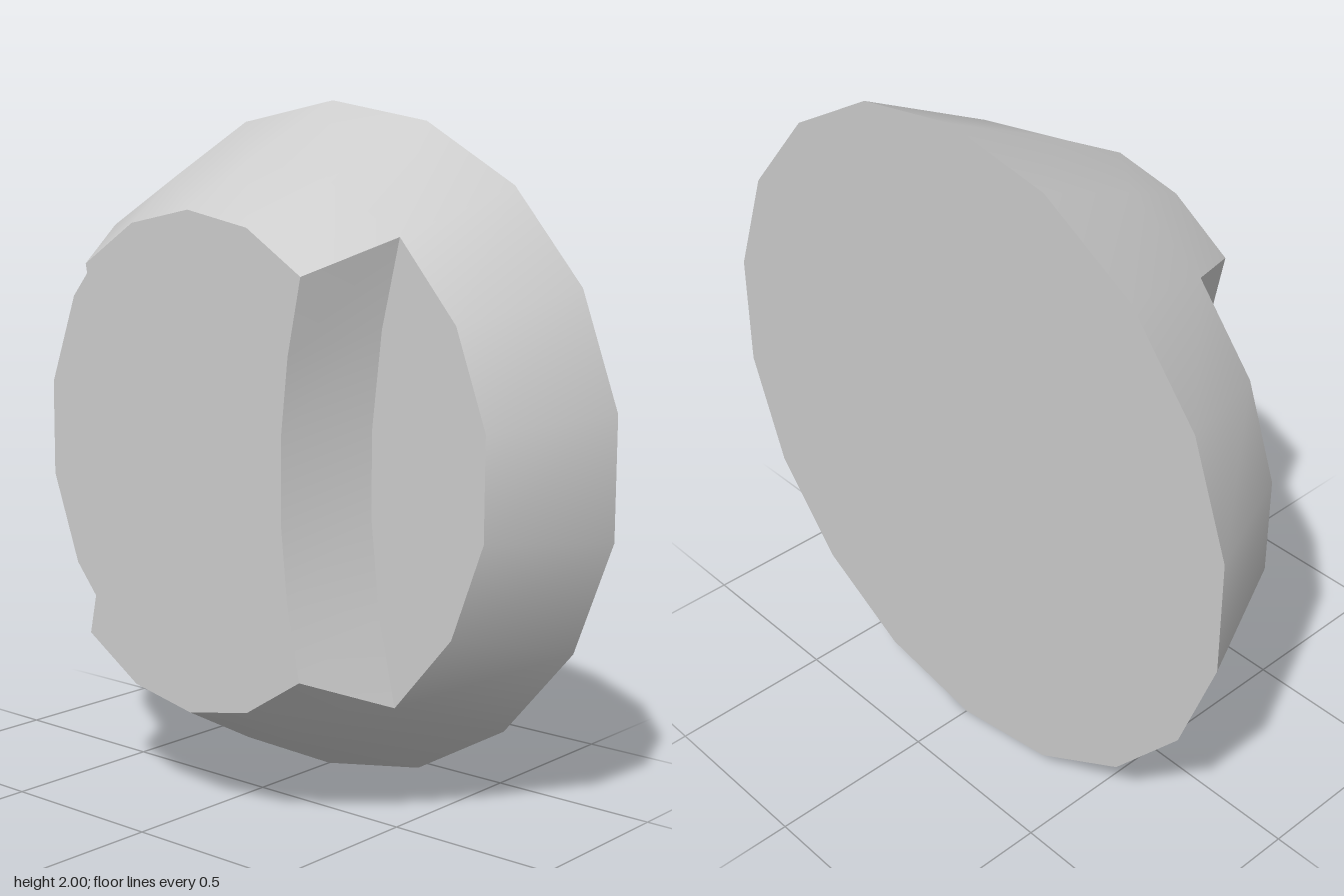
import * as THREE from 'three';
import { mergeVertices, toCreasedNormals } from 'three/addons/utils/BufferGeometryUtils.js';

const SIDES = 18, BACK = -0.305, SHELF = 0.06, FRONT = 0.305;

// Points are [x, y] about the knob's axis, listed clockwise as seen from the front.
const ring = (r) => Array.from({ length: SIDES }, (_, i) => {
  const a = (i - 2) * Math.PI * 2 / SIDES;
  return [r * Math.sin(a), r * Math.cos(a)];
});
const halfTurn = (points) => points.map(([x, y]) => [-x, -y]);

// Outward-facing wall between two matching outlines at different depths.
function strip(out, a, za, b, zb) {
  for (let i = 0; i < a.length - 1; i++) {
    const a0 = [...a[i], za], a1 = [...a[i + 1], za];
    const b0 = [...b[i], zb], b1 = [...b[i + 1], zb];
    out.push(...a0, ...b0, ...b1, ...a0, ...b1, ...a1);
  }
}

function wallGeometry(positions) {
  const g = new THREE.BufferGeometry();
  g.setAttribute('position', new THREE.Float32BufferAttribute(positions, 3));
  return toCreasedNormals(mergeVertices(g), THREE.MathUtils.degToRad(38));
}

function capGeometry(points) {
  return new THREE.ShapeGeometry(new THREE.Shape(points.map(([x, y]) => new THREE.Vector2(x, y))));
}

export function createModel() {
  const model = new THREE.Group();
  model.name = 'knob';
  const grey = new THREE.MeshStandardMaterial({ color: 0xcccccc });
  grey.name = 'plain grey';

  const add = (name, geometry, z = 0) => {
    const mesh = new THREE.Mesh(geometry, grey);
    mesh.name = name;
    mesh.position.set(0, 1, z);
    model.add(mesh);
    return mesh;
  };

  // Outlines: ring index 0 is 40 degrees left of the top
  const base = ring(1), mid = ring(0.832);
  const hubTop = [[-0.403, 0.54], [-0.215, 0.66], [0, 0.702], [0.215, 0.66], [0.403, 0.54]];
  const gripInner = [[0.403, 0.54], [0.36, 0.33], [0.338, 0.12], [0.338, -0.12], [0.36, -0.33], [0.403, -0.54]];
  const gripOuter = [mid[4], [0.478, 0.39], [0.448, 0.12], [0.448, -0.12], [0.478, -0.39], mid[9]];

  // Tapered outer wall, running on up the top and bottom of the grip
  const wall = [];
  strip(wall, [...base, base[0]], BACK, [...mid, mid[0]], SHELF);
  strip(wall, mid.slice(0, 5), SHELF, hubTop, FRONT);
  strip(wall, mid.slice(9, 14), SHELF, halfTurn(hubTop), FRONT);
  add('outerWall', wallGeometry(wall));

  // Curved finger recesses and the flat shelves below them
  for (const side of ['left', 'right']) {
    const turn = side === 'left' ? (p) => p : halfTurn;
    const recess = [];
    strip(recess, turn(gripOuter), SHELF, turn(gripInner), FRONT);
    add(side + 'GripSide', wallGeometry(recess));
    const shelf = [...mid.slice(4, 10), ...gripOuter.slice(1, -1).reverse()];
    add(side + 'Shelf', capGeometry(turn(shelf)), SHELF);
  }

  // Front of the grip and the flat back
  const halfFace = [...hubTop, ...gripInner.slice(1, -1)];
  add('gripFace', capGeometry([...halfFace, ...halfTurn(halfFace)]), FRONT);
  add('backFace', capGeometry(base).rotateY(Math.PI), BACK);

  return model;
}
